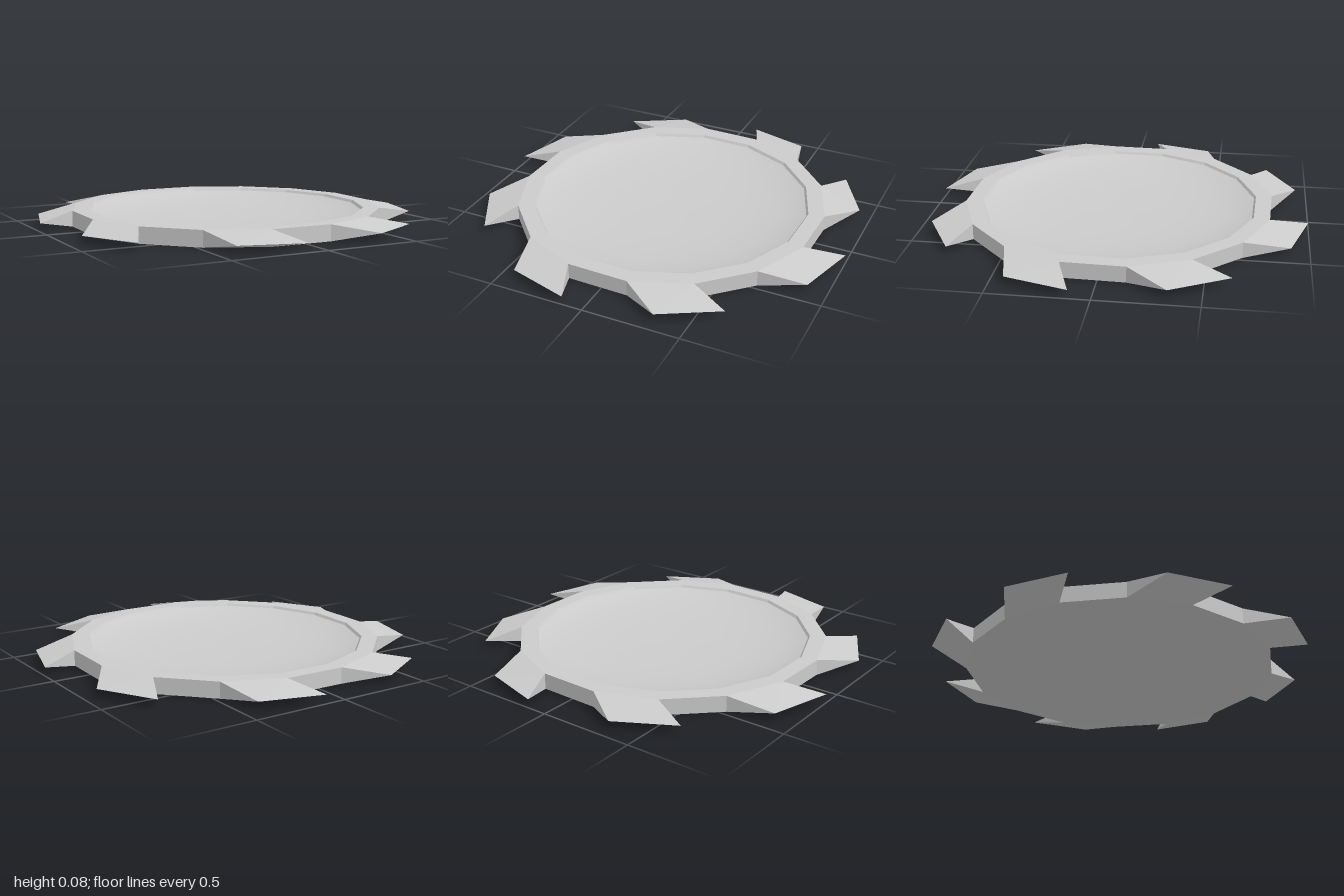
import * as THREE from 'three';

const TOP = 0.083, MID = 0.043, START = THREE.MathUtils.degToRad(9.75);
const RIM = 0.82;

// Wedge-shaped tooth: two corners on the rim, and a sharp slanted outer edge
function toothGeometry() {
  const onRim = (a) => [RIM * Math.sin(a), RIM * Math.cos(a)];
  const a = onRim(START), b = onRim(START + Math.PI / 8);
  const at = ([x, z], y) => [x, y, z];
  const a0 = at(a, 0), a1 = at(a, TOP), b0 = at(b, 0), b1 = at(b, TOP);
  const p = [0.34, MID, 0.94], q = [0.63, MID, 0.78];
  const faces = [
    a1, p, b1, p, q, b1, // upper slope
    a0, b0, p, p, b0, q, // lower slope
    a0, p, a1, b0, b1, q, // sides
  ];
  const g = new THREE.BufferGeometry();
  g.setAttribute('position', new THREE.Float32BufferAttribute(faces.flat(), 3));
  g.computeVertexNormals();
  return g;
}

function lathe(points) {
  return new THREE.LatheGeometry(points.map(([r, y]) => new THREE.Vector2(r, y)), 16, START);
}

export function createModel() {
  const group = new THREE.Group();
  const flat = new THREE.MeshStandardMaterial({ color: 0xcccccc, flatShading: true });
  const smooth = new THREE.MeshStandardMaterial({ color: 0xcccccc });
  const add = (name, geometry, material) => {
    const mesh = new THREE.Mesh(geometry, material);
    mesh.name = name;
    group.add(mesh);
    return mesh;
  };

  // Sixteen-sided disc: underside, outer wall, flat rim and small inner step
  add('disc', lathe([[0, 0], [RIM, 0], [RIM, TOP], [0.735, TOP], [0.725, 0.07]]), flat);

  // Shallow smooth dish inside the rim
  add('dish', lathe([[0.725, 0.07], [0.67, 0.053], [0.58, 0.036], [0.45, 0.022],
    [0.28, 0.013], [0, 0.01]]), smooth);

  // Eight swept teeth around the rim
  const tooth = toothGeometry();
  for (let i = 0; i < 8; i++) {
    add('tooth' + (i + 1), tooth, flat).rotation.y = i * Math.PI / 4;
  }
  return group;
}
